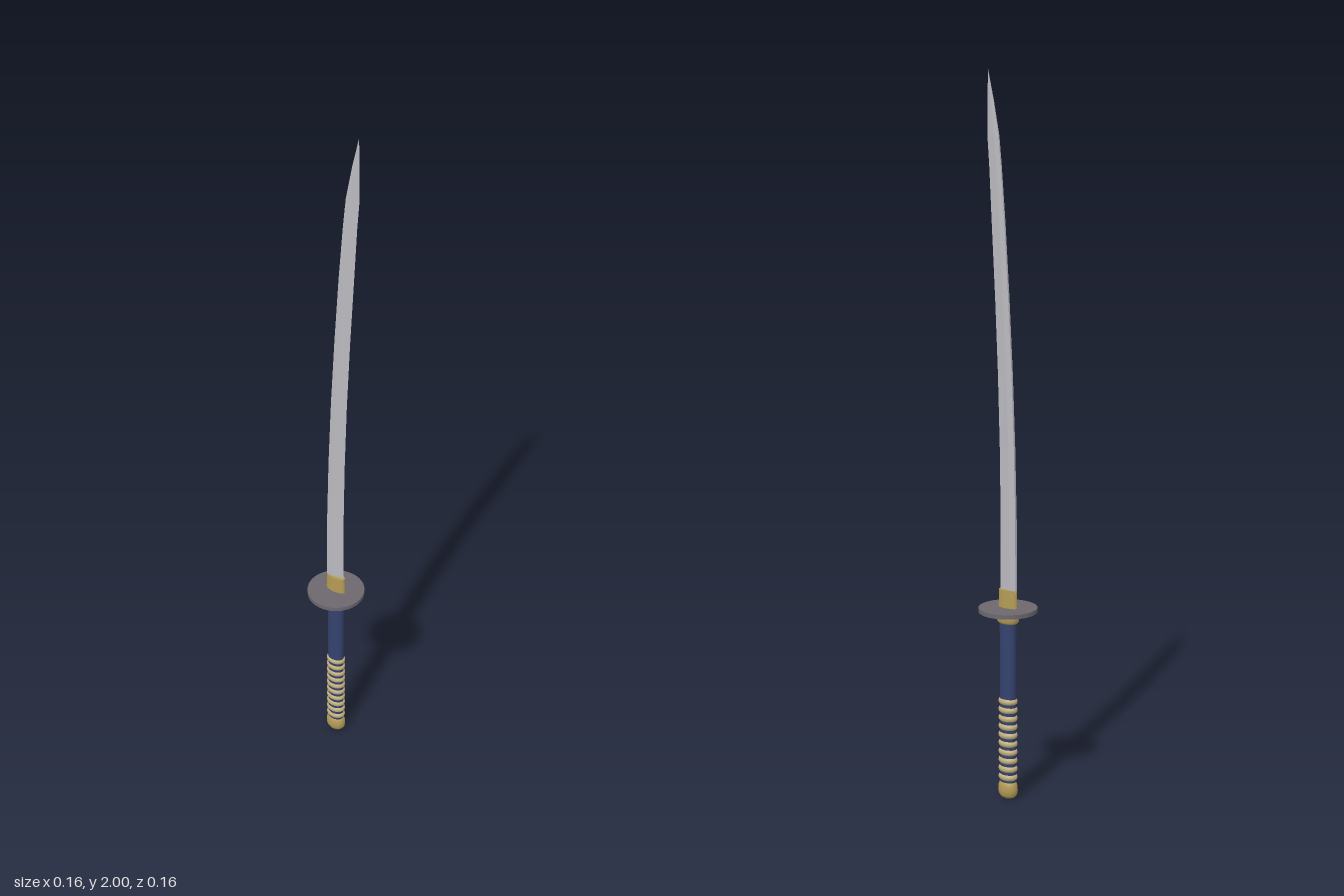
import * as THREE from 'three';

const paint = (color) => new THREE.MeshStandardMaterial({ color });
const steel = paint(0xb9b9bf), gold = paint(0xb39a55), navy = paint(0x34426e);
const cord = paint(0xc0ae7c), iron = paint(0x6c686e);

// Lathe from [radius, y] points, flattened to an oval in z
function oval(name, points, depth, material) {
  const geo = new THREE.LatheGeometry(points.map(([r, y]) => new THREE.Vector2(r, y)), 32);
  geo.scale(1, 1, depth);
  const mesh = new THREE.Mesh(geo, material);
  mesh.name = name;
  return mesh;
}

// Curved single-edged blade lofted from six-sided sections: [y, spine x, edge x, half thickness]
function bladeGeometry() {
  const stations = [
    [0.56, -0.028, 0.025, 0.0065], [0.8, -0.027, 0.025, 0.006], [1.0, -0.022, 0.028, 0.0055],
    [1.2, -0.014, 0.034, 0.005], [1.4, -0.003, 0.043, 0.005], [1.6, 0.01, 0.054, 0.0045],
    [1.75, 0.022, 0.062, 0.004], [1.83, 0.03, 0.068, 0.004], [1.92, 0.047, 0.0675, 0.0025],
    [2.0, 0.065, 0.0655, 0.0004],
  ];
  const rings = stations.map(([y, back, edge, t]) => {
    const ridge = back + (edge - back) * 0.35;
    return [[back, 0.6 * t], [ridge, t], [edge, 0], [ridge, -t], [back, -0.6 * t]]
      .map(([x, z]) => [x, y, z]);
  });
  const pos = [];
  const n = rings[0].length;
  for (let i = 0; i < rings.length - 1; i++) {
    for (let j = 0; j < n; j++) {
      const k = (j + 1) % n;
      const a = rings[i][j], b = rings[i][k], c = rings[i + 1][k], d = rings[i + 1][j];
      pos.push(...a, ...b, ...c, ...a, ...c, ...d);
    }
  }
  // Close the tip and the base
  const first = rings[0], last = rings[rings.length - 1];
  for (let j = 1; j < n - 1; j++) {
    pos.push(...last[0], ...last[j], ...last[j + 1]);
    pos.push(...first[0], ...first[j + 1], ...first[j]);
  }
  const geo = new THREE.BufferGeometry();
  geo.setAttribute('position', new THREE.Float32BufferAttribute(pos, 3));
  geo.computeVertexNormals();
  return geo;
}

export function createModel() {
  const sword = new THREE.Group();
  sword.name = 'sword';

  const blade = new THREE.Mesh(bladeGeometry(), steel);
  blade.name = 'blade';
  sword.add(blade);

  // Fitting around the base of the blade
  sword.add(oval('bladeCollar', [[0, 0.548], [0.031, 0.548], [0.031, 0.548], [0.029, 0.602],
    [0.029, 0.602], [0, 0.602]], 0.42, gold));

  // Round hand guard
  const guard = new THREE.Mesh(new THREE.CylinderGeometry(0.081, 0.081, 0.012, 48), iron);
  guard.name = 'guard';
  guard.position.y = 0.546;
  sword.add(guard);

  // Rounded collar under the guard
  sword.add(oval('gripCollar', [[0, 0.508], [0.028, 0.508], [0.033, 0.513], [0.034, 0.524],
    [0.033, 0.535], [0.028, 0.54], [0, 0.54]], 0.72, gold));

  // Grip core
  sword.add(oval('grip', [[0, 0.04], [0.024, 0.04], [0.024, 0.04], [0.025, 0.51],
    [0.025, 0.51], [0, 0.51]], 0.74, navy));

  // Cord rings wound round the lower grip
  const wraps = new THREE.Group();
  wraps.name = 'gripWraps';
  for (let i = 0; i < 10; i++) {
    const geo = new THREE.TorusGeometry(0.0215, 0.0075, 10, 32).rotateX(Math.PI / 2);
    geo.scale(1, 1.15, 0.76);
    const ring = new THREE.Mesh(geo, cord);
    ring.name = 'wrapRing';
    ring.position.y = 0.063 + i * 0.0245;
    wraps.add(ring);
  }
  sword.add(wraps);

  // Pommel cap
  sword.add(oval('pommel', [[0, 0], [0.014, 0.001], [0.022, 0.005], [0.028, 0.013], [0.03, 0.025],
    [0.029, 0.038], [0.025, 0.048], [0.018, 0.053], [0, 0.054]], 0.74, gold));

  return sword;
}
